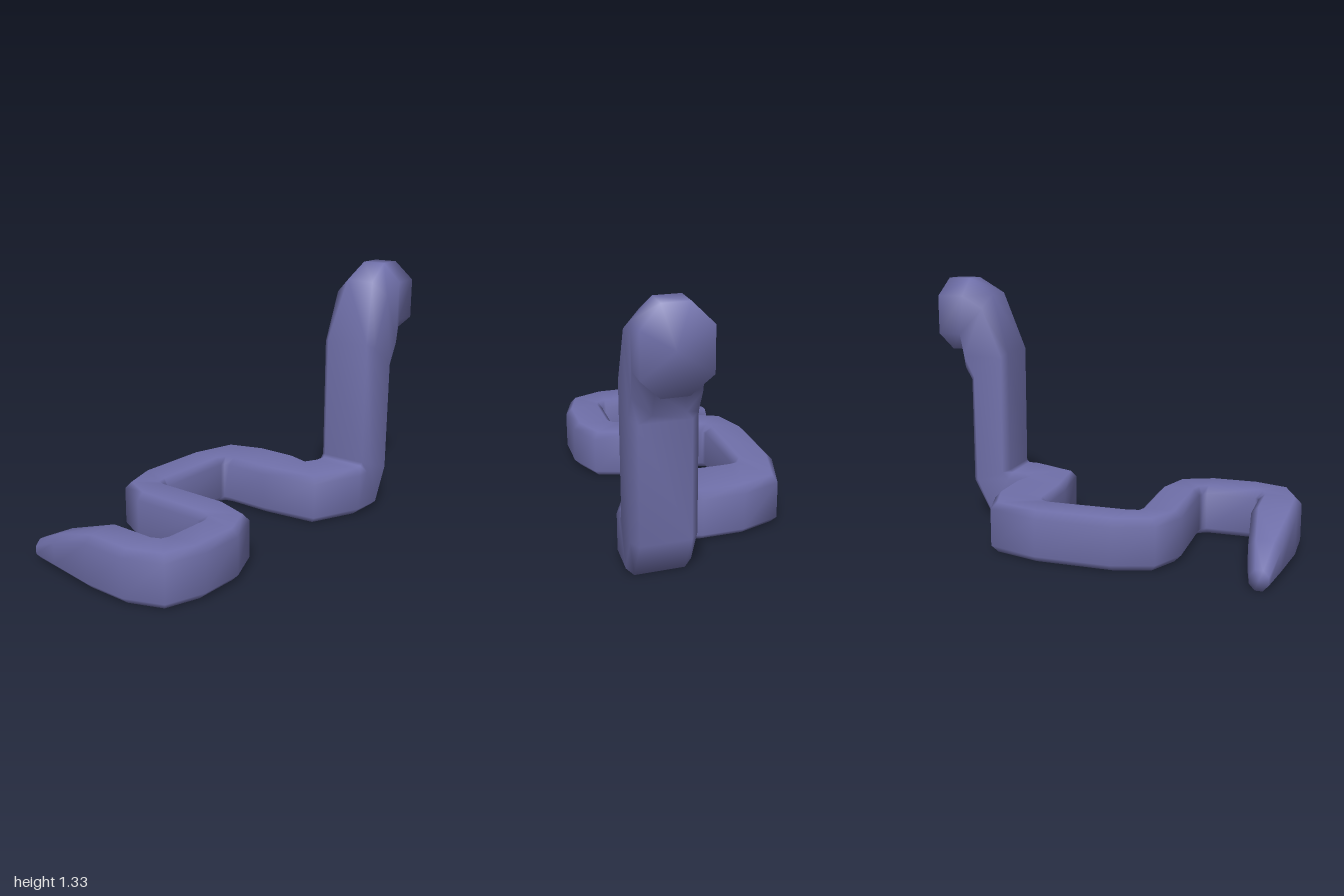
import * as THREE from 'three';

// Ground rings, tail to neck: left x, left z, right x, right z, height
const GROUND = [
  [-0.845, -0.46, -0.935, -0.46, 0.1], // tail tip
  [-0.81, -0.29, -0.965, -0.29, 0.18],
  [-0.78, -0.03, -1, -0.03, 0.26],
  [-0.78, 0.2, -1, 0.2, 0.26], // first bend
  [-0.77, 0.22, -0.925, 0.385, 0.26],
  [-0.76, 0.225, -0.73, 0.45, 0.26],
  [-0.505, 0.225, -0.505, 0.45, 0.26], // second bend
  [-0.485, 0.21, -0.32, 0.37, 0.26],
  [-0.475, 0.18, -0.255, 0.17, 0.26],
  [-0.475, -0.22, -0.255, -0.22, 0.26], // third bend
  [-0.39, -0.395, -0.25, -0.235, 0.26],
  [-0.185, -0.46, -0.23, -0.24, 0.26],
  [0.2, -0.46, 0.2, -0.24, 0.26], // fourth bend
  [0.465, -0.38, 0.22, -0.23, 0.26],
  [0.53, -0.18, 0.225, -0.2, 0.26],
  [0.53, 0.03, 0.225, 0.04, 0.26], // fifth bend
  [0.485, 0.12, 0.27, 0.34, 0.26],
  [0.53, 0.145, 0.535, 0.455, 0.26],
];

// Upright rings, neck to head: front x, front y, back x, back y, bevel
const UPRIGHT = [
  [0.72, 0, 0.59, 0.26, 0.035],
  [0.825, 0.2, 0.605, 0.275, 0.035],
  [0.825, 0.775, 0.605, 0.93, 0.035],
  [0.885, 0.835, 0.71, 1.245, 0.08],
  [0.885, 0.935, 0.85, 1.33, 0.095],
  [0.965, 0.935, 0.975, 1.33, 0.095],
];

const v = (x, y, z) => new THREE.Vector3(x, y, z);

// Bevel the four corners of a cross-section into an octagon
function bevelRing(corners, bevel) {
  const towards = (a, b) => a.clone().lerp(b, Math.min(0.3, bevel / a.distanceTo(b)));
  return corners.flatMap((c, i) => [
    towards(c, corners[(i + 3) % 4]),
    towards(c, corners[(i + 1) % 4]),
  ]);
}

// Skin a row of rings and close both ends
function skin(rings) {
  const n = rings[0].length;
  const points = rings.flat();
  const index = [];
  for (let i = 0; i < rings.length - 1; i++) {
    for (let j = 0; j < n; j++) {
      const a = i * n + j;
      const b = i * n + ((j + 1) % n);
      index.push(a, a + n, b + n, a, b + n, b);
    }
  }
  const addCap = (start, ring, flip) => {
    const centre = points.length;
    points.push(ring.reduce((s, p) => s.add(p), v(0, 0, 0)).divideScalar(n));
    for (let j = 0; j < n; j++) {
      const a = start + j;
      const b = start + ((j + 1) % n);
      index.push(centre, flip ? b : a, flip ? a : b);
    }
  };
  addCap(0, rings[0], false);
  addCap((rings.length - 1) * n, rings[rings.length - 1], true);
  const geometry = new THREE.BufferGeometry().setFromPoints(points);
  geometry.setIndex(index);
  geometry.computeVertexNormals();
  return geometry;
}

export function createModel() {
  const model = new THREE.Group();
  model.name = 'snake';

  const ground = GROUND.map(([lx, lz, rx, rz, h]) =>
    bevelRing([v(lx, 0, lz), v(rx, 0, rz), v(rx, h, rz), v(lx, h, lz)], 0.035));
  const zL = 0.148;
  const zR = 0.458;
  const upright = UPRIGHT.map(([fx, fy, bx, by, bevel]) =>
    bevelRing([v(fx, fy, zL), v(fx, fy, zR), v(bx, by, zR), v(bx, by, zL)], bevel));

  // Push the sides of the snout forward so the face bows slightly
  upright[upright.length - 1].forEach((p) => {
    if (p.z < zL + 0.01 || p.z > zR - 0.01) p.x = 1;
  });

  const body = new THREE.Mesh(
    skin([...ground, ...upright]),
    new THREE.MeshStandardMaterial({ color: 0x7070aa }),
  );
  body.name = 'snakeBody';
  model.add(body);
  return model;
}
